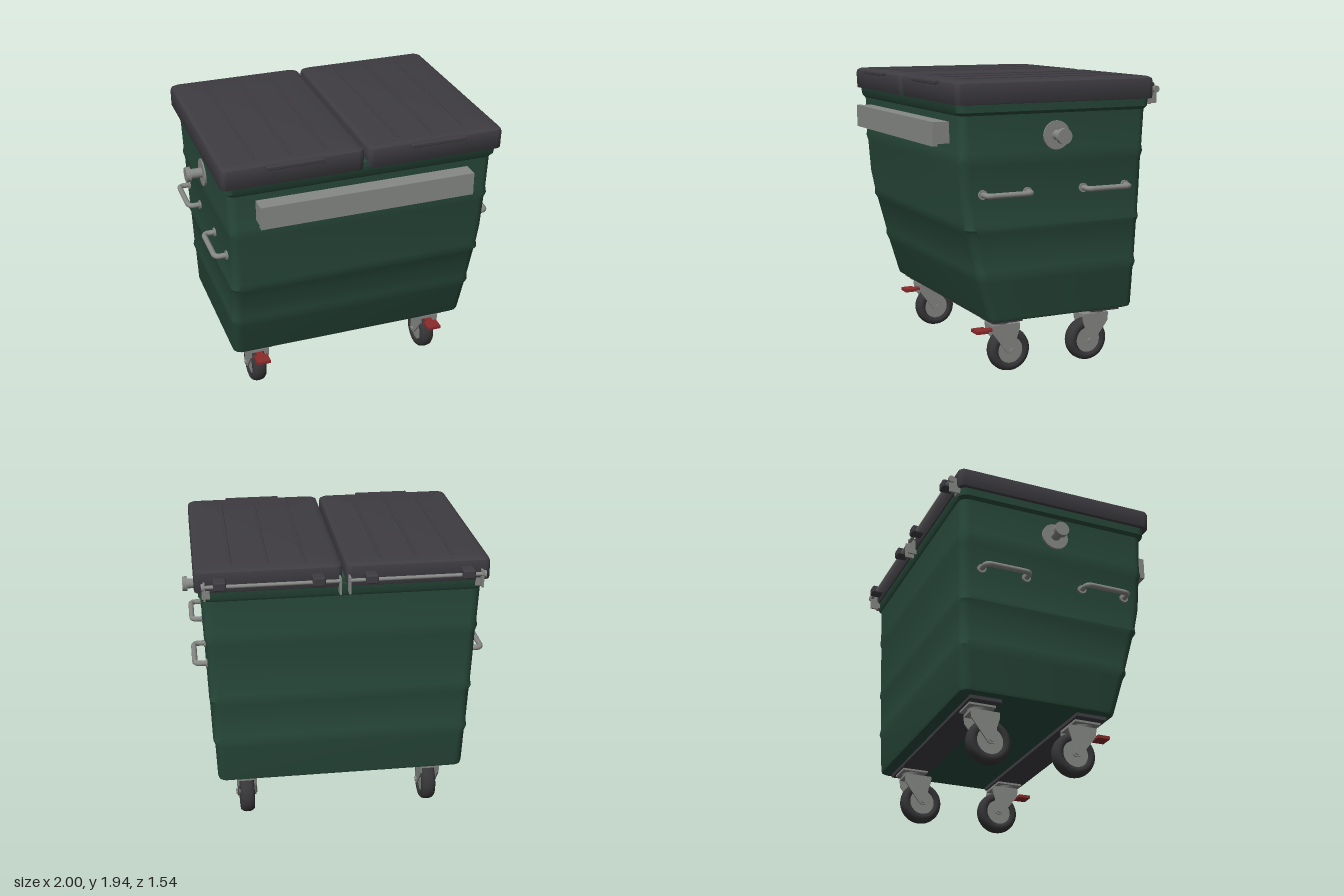
import * as THREE from 'three';
import { toCreasedNormals } from 'three/addons/utils/BufferGeometryUtils.js';
import { RoundedBoxGeometry } from 'three/addons/geometries/RoundedBoxGeometry.js';

const material = (name, color) => {
  const m = new THREE.MeshStandardMaterial({ color });
  m.name = name;
  return m;
};

export function createModel() {
  const green = material('green body', 0x28493b);
  const dark = material('dark lid plastic', 0x3e3c41);
  const steel = material('galvanised steel', 0x868885);
  const rubber = material('tyre rubber', 0x363638);
  const red = material('red brake', 0x8a2b2b);

  const model = new THREE.Group();
  model.name = 'wheeledContainer';

  function add(parent, name, geometry, mat, x = 0, y = 0, z = 0) {
    const mesh = new THREE.Mesh(geometry, mat);
    mesh.name = name;
    mesh.position.set(x, y, z);
    parent.add(mesh);
    return mesh;
  }
  const box = (parent, name, mat, [x0, x1], [y0, y1], [z0, z1]) =>
    add(parent, name, new THREE.BoxGeometry(x1 - x0, y1 - y0, z1 - z0), mat, (x0 + x1) / 2, (y0 + y1) / 2, (z0 + z1) / 2);
  const rod = (parent, name, mat, r, x0, x1, y, z, sides = 20) => {
    const g = new THREE.CylinderGeometry(r, r, Math.abs(x1 - x0), sides).rotateZ(Math.PI / 2);
    return add(parent, name, g, mat, (x0 + x1) / 2, y, z);
  };

  // Closed skin through rounded rectangles: [y, half width, front z, back z, corner radius]
  function loft(sections, seg = 6) {
    const pos = [];
    const rings = sections.map(([y, hx, zf, zb, r]) => {
      const ring = [];
      [[1, 1], [-1, 1], [-1, -1], [1, -1]].forEach(([sx, sz], q) => {
        for (let i = 0; i <= seg; i++) {
          const a = (q + i / seg) * Math.PI / 2;
          const cz = sz > 0 ? zf - r : zb + r;
          ring.push([sx * (hx - r) + r * Math.cos(a), y, cz + r * Math.sin(a)]);
        }
      });
      return ring;
    });
    const n = rings[0].length;
    const centre = ([y, , zf, zb]) => [0, y, (zf + zb) / 2];
    const bottom = centre(sections[0]), top = centre(sections[sections.length - 1]);
    for (let i = 0; i < n; i++) {
      const j = (i + 1) % n;
      for (let k = 0; k < rings.length - 1; k++) {
        const a = rings[k], b = rings[k + 1];
        pos.push(...a[i], ...b[i], ...b[j], ...a[i], ...b[j], ...a[j]);
      }
      const last = rings[rings.length - 1];
      pos.push(...bottom, ...rings[0][i], ...rings[0][j], ...top, ...last[j], ...last[i]);
    }
    const g = new THREE.BufferGeometry();
    g.setAttribute('position', new THREE.Float32BufferAttribute(pos, 3));
    return toCreasedNormals(g, 0.6);
  }

  // Tapered tub with shallow horizontal ridges
  add(model, 'body', loft([
    [0.385, 0.815, 0.415, -0.605, 0.05],
    [0.392, 0.828, 0.428, -0.618, 0.055],
    [0.41, 0.834, 0.437, -0.624, 0.06],
    [0.65, 0.842, 0.508, -0.634, 0.06],
    [0.69, 0.855, 0.525, -0.643, 0.06],
    [0.73, 0.848, 0.527, -0.637, 0.06],
    [0.97, 0.856, 0.59, -0.645, 0.06],
    [1.0, 0.868, 0.607, -0.652, 0.06],
    [1.04, 0.86, 0.608, -0.648, 0.06],
    [1.18, 0.865, 0.635, -0.652, 0.06],
    [1.40, 0.872, 0.65, -0.656, 0.06],
    [1.44, 0.883, 0.66, -0.664, 0.06],
    [1.48, 0.877, 0.655, -0.66, 0.06],
    [1.715, 0.885, 0.66, -0.667, 0.06],
  ]), green);
  add(model, 'rim', loft([
    [1.715, 0.886, 0.661, -0.668, 0.06],
    [1.735, 0.905, 0.677, -0.68, 0.06],
    [1.80, 0.908, 0.688, -0.684, 0.06],
  ]), green);
  box(model, 'lidDivider', green, [-0.02, 0.02], [1.78, 1.83], [-0.66, 0.685]);

  // Fork bar across the front
  box(model, 'frontBar', steel, [-0.71, 0.71], [1.535, 1.67], [0.64, 0.765]);
  box(model, 'frontBarFace', steel, [-0.71, 0.71], [1.52, 1.672], [0.735, 0.77]);

  for (const s of [-1, 1]) {
    // Lid halves with ribs and a front grip
    const lid = new THREE.Group();
    lid.name = s > 0 ? 'leftLid' : 'rightLid';
    model.add(lid);
    add(lid, 'lidShell', loft([
      [1.785, 0.457, 0.697, -0.69, 0.035],
      [1.79, 0.46, 0.70, -0.693, 0.038],
      [1.895, 0.46, 0.706, -0.695, 0.04],
      [1.915, 0.454, 0.70, -0.69, 0.04],
      [1.926, 0.438, 0.684, -0.674, 0.04],
      [1.929, 0.42, 0.666, -0.656, 0.04],
    ]), dark, s * 0.47);
    for (const x of [0.24, 0.47, 0.70]) {
      add(lid, 'lidRib', new RoundedBoxGeometry(0.018, 0.022, 1.2, 2, 0.006), dark, s * x, 1.926, 0.01);
    }
    add(lid, 'lidGrip', new RoundedBoxGeometry(0.375, 0.024, 0.07, 2, 0.006), dark, s * 0.47, 1.91, 0.702);

    // Hinge sleeves, rod and steel brackets along the back
    for (const x of [0.165, 0.775]) {
      add(lid, 'hingeSleeve', new RoundedBoxGeometry(0.08, 0.06, 0.09, 2, 0.012), dark, s * x, 1.85, -0.725);
    }
    rod(model, 'hingeRod', steel, 0.012, s * 0.025, s * 0.885, 1.84, -0.735, 12);
    rod(model, 'hingeRodEnd', steel, 0.023, s * 0.872, s * 0.888, 1.84, -0.735);
    for (const x of [0.03, 0.87]) {
      box(model, 'hingeBracket', steel, [s * x - 0.006, s * x + 0.006], [1.75, 1.86], [-0.745, -0.675]);
    }
    box(model, 'bracketFoot', steel, [s * 0.86 - 0.025, s * 0.86 + 0.025], [1.745, 1.8], [-0.695, -0.675]);

    // Lifting trunnion
    rod(model, 'trunnionFlange', steel, 0.092, s * 0.86, s * 0.892, 1.575, 0, 32);
    rod(model, 'trunnionShaft', steel, 0.033, s * 0.88, s * 0.97, 1.575, 0, 24);
    rod(model, 'trunnionCap', steel, 0.05, s * 0.967, s * 1.0, 1.575, 0, 28);

    // Side grab handles
    for (const z of [0.35, -0.36]) {
      const path = new THREE.CurvePath();
      const v = (x, dz) => new THREE.Vector3(s * x, 1.225, z + dz);
      path.add(new THREE.LineCurve3(v(0.855, -0.155), v(0.91, -0.155)));
      path.add(new THREE.QuadraticBezierCurve3(v(0.91, -0.155), v(0.947, -0.155), v(0.947, -0.115)));
      path.add(new THREE.LineCurve3(v(0.947, -0.115), v(0.947, 0.115)));
      path.add(new THREE.QuadraticBezierCurve3(v(0.947, 0.115), v(0.947, 0.155), v(0.91, 0.155)));
      path.add(new THREE.LineCurve3(v(0.91, 0.155), v(0.855, 0.155)));
      add(model, 'sideHandle', new THREE.TubeGeometry(path, 48, 0.018, 12), steel);
      for (const dz of [-0.155, 0.155]) {
        rod(model, 'handleRosette', steel, 0.03, s * 0.855, s * 0.878, 1.225, z + dz);
      }
    }
  }

  // Base rails carrying the casters
  for (const z of [0.285, -0.44]) {
    box(model, 'baseRail', dark, [-0.775, 0.775], [0.362, 0.392], [z - 0.105, z + 0.105]);
  }

  // Caster, built about its swivel axis with the wheel trailing toward -z
  const tyreProfile = [[0.088, -0.04], [0.105, -0.05], [0.125, -0.048], [0.139, -0.034], [0.145, -0.012],
    [0.145, 0.012], [0.139, 0.034], [0.125, 0.048], [0.105, 0.05], [0.088, 0.04], [0.088, -0.04]];
  const tyre = new THREE.LatheGeometry(tyreProfile.map(([r, y]) => new THREE.Vector2(r, y)), 40).rotateZ(Math.PI / 2);
  const forkShape = new THREE.Shape();
  forkShape.moveTo(0.07, 0.33);
  forkShape.lineTo(0.065, 0.27);
  forkShape.lineTo(-0.045, 0.125);
  forkShape.quadraticCurveTo(-0.075, 0.105, -0.1, 0.13);
  forkShape.lineTo(-0.105, 0.23);
  forkShape.lineTo(-0.125, 0.29);
  forkShape.lineTo(-0.125, 0.33);
  forkShape.closePath();
  const forkPlate = new THREE.ExtrudeGeometry(forkShape, { depth: 0.01, bevelEnabled: false })
    .rotateY(-Math.PI / 2).translate(0.005, 0, 0);

  function caster(x, z, braked) {
    const g = new THREE.Group();
    g.name = braked ? 'frontCaster' : 'rearCaster';
    g.position.set(x, 0, z);
    box(g, 'mountPlate', steel, [-0.085, 0.085], [0.348, 0.363], [-0.09, 0.09]);
    add(g, 'swivel', new THREE.CylinderGeometry(0.07, 0.06, 0.03, 24), steel, 0, 0.336, 0);
    box(g, 'forkCrown', steel, [-0.063, 0.063], [0.312, 0.33], [-0.125, 0.07]);
    for (const s of [-1, 1]) add(g, 'forkPlate', forkPlate, steel, s * 0.06);
    add(g, 'tyre', tyre, rubber, 0, 0.145, -0.07);
    rod(g, 'wheelHub', steel, 0.09, -0.036, 0.036, 0.145, -0.07, 32);
    rod(g, 'axle', steel, 0.017, -0.074, 0.074, 0.145, -0.07, 12);
    if (braked) {
      box(g, 'brakePedal', red, [-0.048, 0.048], [0.277, 0.298], [0.09, 0.175]);
      box(g, 'brakeArm', red, [-0.025, 0.025], [0.28, 0.295], [0.03, 0.1]);
    } else {
      g.rotation.y = Math.PI;
    }
    model.add(g);
  }
  for (const s of [-1, 1]) {
    caster(s * 0.635, 0.285, true);
    caster(s * 0.635, -0.44, false);
  }

  return model;
}
